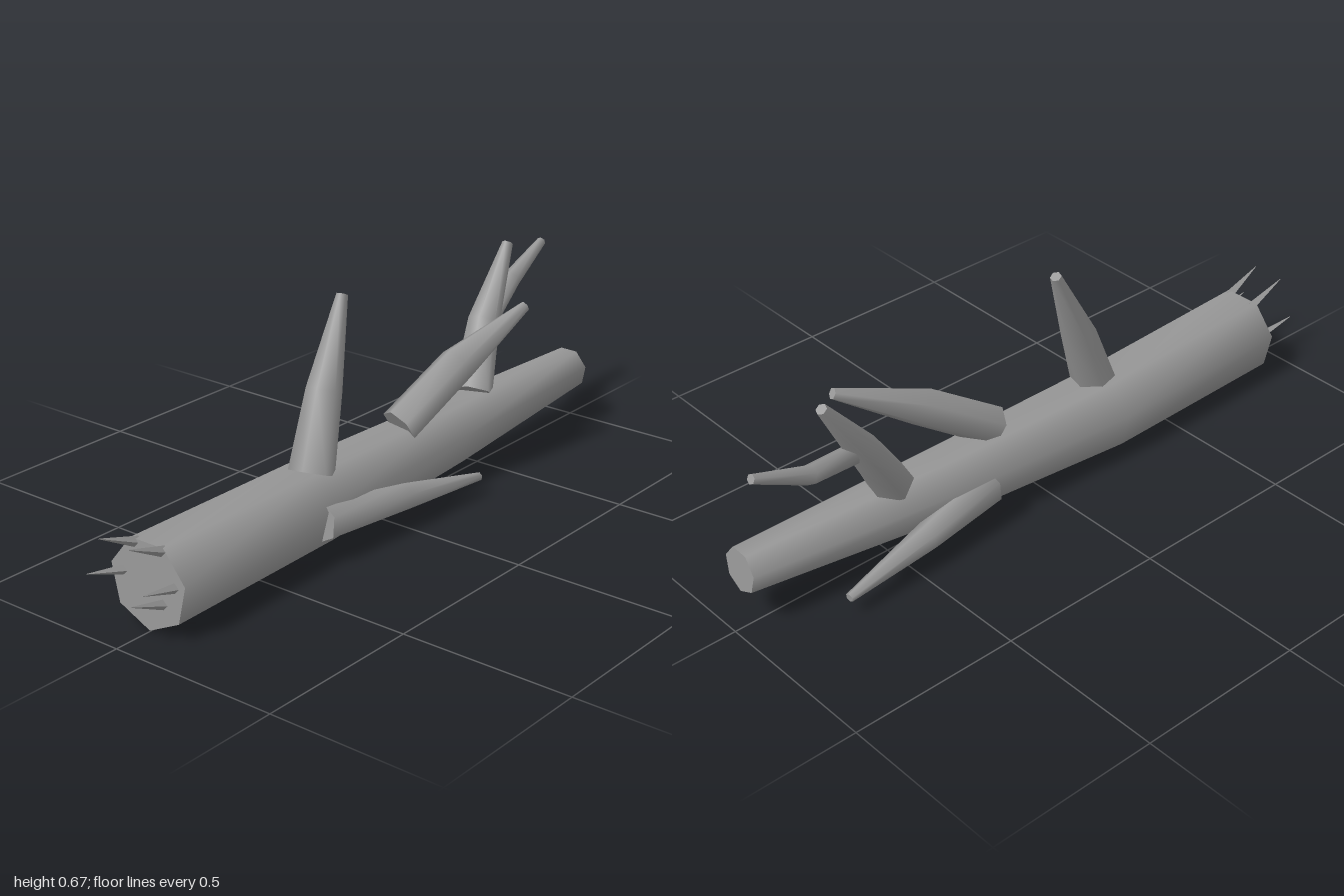
import * as THREE from 'three';
import { toCreasedNormals } from 'three/addons/utils/BufferGeometryUtils.js';

const material = new THREE.MeshStandardMaterial({ color: 0x999999 });
const UP = new THREE.Vector3(0, 1, 0);
const CREASE = THREE.MathUtils.degToRad(68); // sides blend smoothly, end caps stay sharp

// Tapered limb through stations [x, y, z, radius], capped at both ends.
// startAngle turns the first corner of each ring away from "up".
function limb(name, stations, sides = 6, startAngle = 0) {
  const centers = stations.map(([x, y, z]) => new THREE.Vector3(x, y, z));
  const last = centers.length - 1;
  const rings = centers.map((center, i) => {
    const tangent = centers[Math.min(i + 1, last)].clone().sub(centers[Math.max(i - 1, 0)]).normalize();
    const u = UP.clone().addScaledVector(tangent, -UP.dot(tangent)).normalize();
    const w = tangent.clone().cross(u);
    return Array.from({ length: sides }, (_, j) => {
      const angle = startAngle + (j / sides) * Math.PI * 2;
      return center.clone()
        .addScaledVector(u, stations[i][3] * Math.cos(angle))
        .addScaledVector(w, stations[i][3] * Math.sin(angle));
    });
  });

  const corners = [];
  for (let j = 0; j < sides; j++) {
    const k = (j + 1) % sides;
    for (let i = 0; i < last; i++) {
      const [a, b, c, d] = [rings[i][j], rings[i][k], rings[i + 1][k], rings[i + 1][j]];
      corners.push(a, b, d, b, c, d);
    }
    corners.push(centers[0], rings[0][k], rings[0][j]);
    corners.push(centers[last], rings[last][j], rings[last][k]);
  }
  const geometry = new THREE.BufferGeometry().setFromPoints(corners);
  const mesh = new THREE.Mesh(toCreasedNormals(geometry, CREASE), material);
  mesh.name = name;
  return mesh;
}

export function createModel() {
  const log = new THREE.Group();
  log.name = 'fallenLog';

  // Seven-sided trunk with one corner resting on the ground
  log.add(limb('trunk', [
    [-0.88, 0.133, -0.003, 0.127],
    [-0.27, 0.128, -0.018, 0.122],
    [0.33, 0.145, -0.006, 0.1],
    [0.96, 0.176, 0.014, 0.065],
  ], 7, Math.PI));

  // Branches: root, bend, tip
  const branches = {
    upperRearBranch: [[-0.26, 0.225, 0, 0.064], [-0.175, 0.43, -0.025, 0.05], [-0.06, 0.665, -0.055, 0.016]],
    upperFrontBranch: [[0.485, 0.23, -0.012, 0.062], [0.6, 0.41, -0.057, 0.048], [0.74, 0.615, -0.076, 0.016]],
    forkTwig: [[0.645, 0.425, -0.06, 0.03], [0.815, 0.473, -0.113, 0.028], [0.99, 0.552, -0.123, 0.014]],
    middleBranch: [[0.12, 0.24, 0, 0.058], [0.33, 0.375, 0.045, 0.056], [0.575, 0.497, 0.105, 0.016]],
    frontSideBranch: [[-0.31, 0.12, 0.073, 0.059], [0, 0.095, 0.111, 0.041], [0.31, 0.06, 0.143, 0.013]],
    backSideBranch: [[0.21, 0.125, -0.078, 0.056], [0.46, 0.098, -0.118, 0.039], [0.74, 0.062, -0.145, 0.013]],
  };
  for (const [name, stations] of Object.entries(branches)) log.add(limb(name, stations));

  // Splinters fanning out of the broken end: base y, base z, tip y, tip z
  const splinters = new THREE.Group();
  splinters.name = 'splinters';
  for (const [y, z, tipY, tipZ] of [
    [0.235, 0.045, 0.285, 0.05],
    [0.235, -0.045, 0.285, -0.05],
    [0.148, 0.085, 0.175, 0.092],
    [0.148, -0.085, 0.175, -0.1],
    [0.09, 0.045, 0.132, 0.05],
  ]) {
    splinters.add(limb('splinter', [[-0.87, y, z, 0.015], [-0.992, tipY, tipZ, 0.001]], 4));
  }
  log.add(splinters);

  return log;
}
